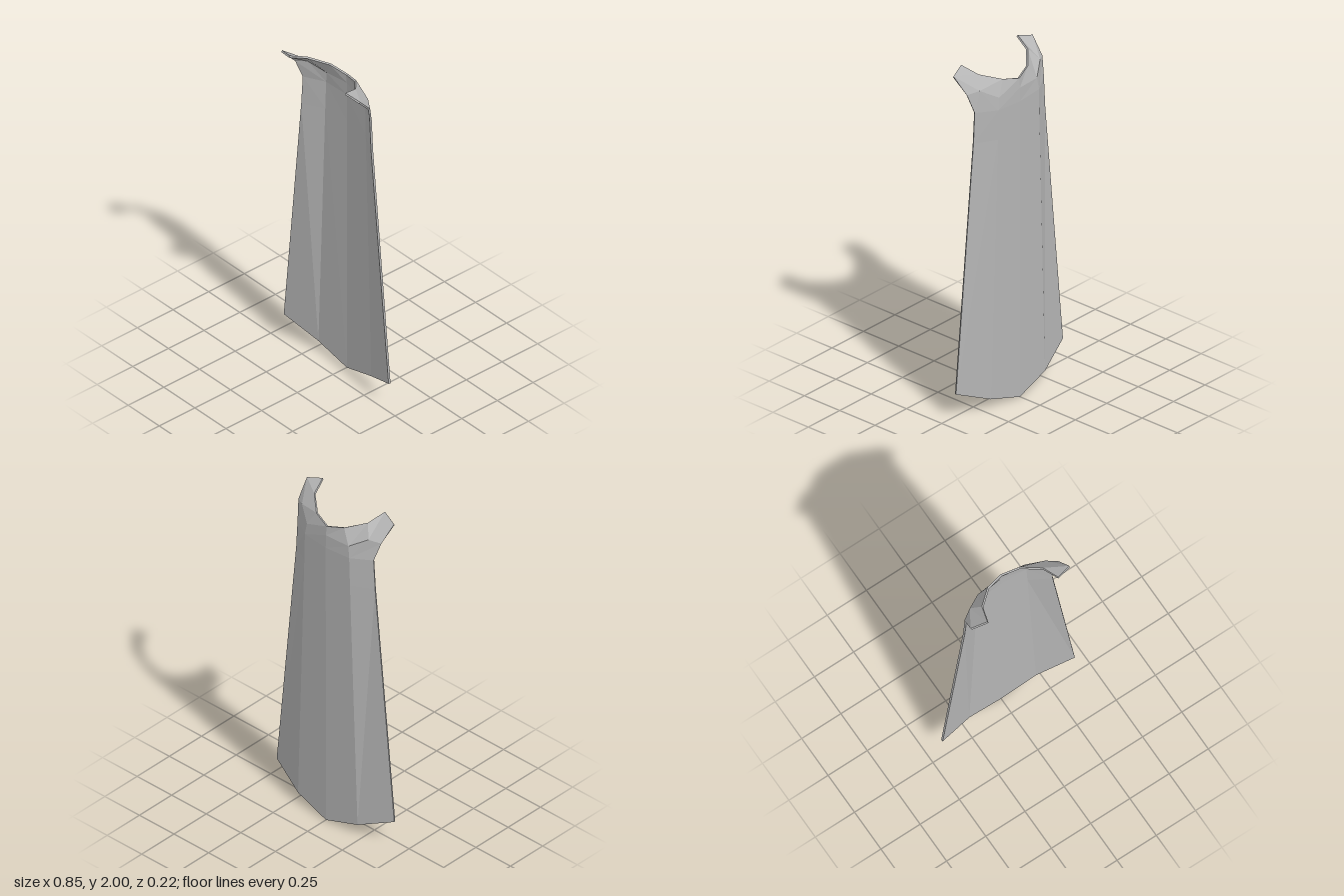
import * as THREE from 'three';

const THICKNESS = 0.011;

// Left half of the outer surface, from the neckline down to the hem
const half = [
  [0, 1.905, -0.103], [0.1, 1.93, -0.075], [0.195, 1.965, 0.01], [0.225, 2, 0.108], // neckline
  [0.315, 1.975, 0.082],                                                            // shoulder tip
  [0, 1.85, -0.108], [0.15, 1.845, -0.095], [0.24, 1.9, -0.037], [0.3, 1.885, 0],   // collar bend
  [0, 1.77, -0.11], [0.16, 1.775, -0.1], [0.275, 1.78, -0.033],                     // shoulder blades
  [0, 1.6, -0.11], [0.165, 1.6, -0.099], [0.285, 1.6, -0.033],                      // upper back
  [0, 0, -0.108], [0.215, 0.065, -0.094], [0.425, 0.155, -0.034],                   // pointed hem
];
const panels = [
  [0, 1, 6, 5], [1, 2, 7, 6], [2, 3, 4, 7], [7, 4, 8], // collar and shoulder flap
  [5, 6, 10, 9], [6, 7, 10], [7, 8, 11, 10],           // bend
  [9, 10, 13, 12], [10, 11, 14, 13],                   // upper body
  [12, 13, 16, 15], [13, 14, 17, 16],                  // long body
];

function buildCloth() {
  const points = half.map((p) => new THREE.Vector3(...p));

  // Mirror the half, sharing the points on the centre line
  const mirror = half.map((p, i) => {
    if (p[0] === 0) return i;
    points.push(new THREE.Vector3(-p[0], p[1], p[2]));
    return points.length - 1;
  });
  const faces = [...panels, ...panels.map((f) => f.map((i) => mirror[i]).reverse())];
  const outer = [];
  for (const f of faces) {
    for (let i = 1; i < f.length - 1; i++) outer.push([f[0], f[i], f[i + 1]]);
  }

  // Lining: the same sheet pushed inward along its normals
  const sheet = new THREE.BufferGeometry().setFromPoints(points);
  sheet.setIndex(outer.flat());
  sheet.computeVertexNormals();
  const count = points.length;
  for (let i = 0; i < count; i++) {
    const n = new THREE.Vector3().fromBufferAttribute(sheet.attributes.normal, i);
    points.push(points[i].clone().addScaledVector(n, -THICKNESS));
  }
  const triangles = [...outer];
  for (const [a, b, c] of outer) triangles.push([c + count, b + count, a + count]);

  // Rim: close every edge that belongs to one triangle only
  const edges = new Set();
  for (const t of outer) t.forEach((a, k) => edges.add(`${a},${t[(k + 1) % 3]}`));
  for (const edge of edges) {
    const [a, b] = edge.split(',').map(Number);
    if (edges.has(`${b},${a}`)) continue;
    triangles.push([b, a, a + count], [b, a + count, b + count]);
  }

  const solid = new THREE.BufferGeometry().setFromPoints(points);
  solid.setIndex(triangles.flat());
  const flat = solid.toNonIndexed();
  flat.computeVertexNormals();
  return flat;
}

export function createModel() {
  const group = new THREE.Group();
  group.name = 'cape';
  const cloth = new THREE.MeshStandardMaterial({ color: 0xb4b4b4, flatShading: true });
  cloth.name = 'grey cloth';
  const mesh = new THREE.Mesh(buildCloth(), cloth);
  mesh.name = 'capeCloth';
  group.add(mesh);
  return group;
}
